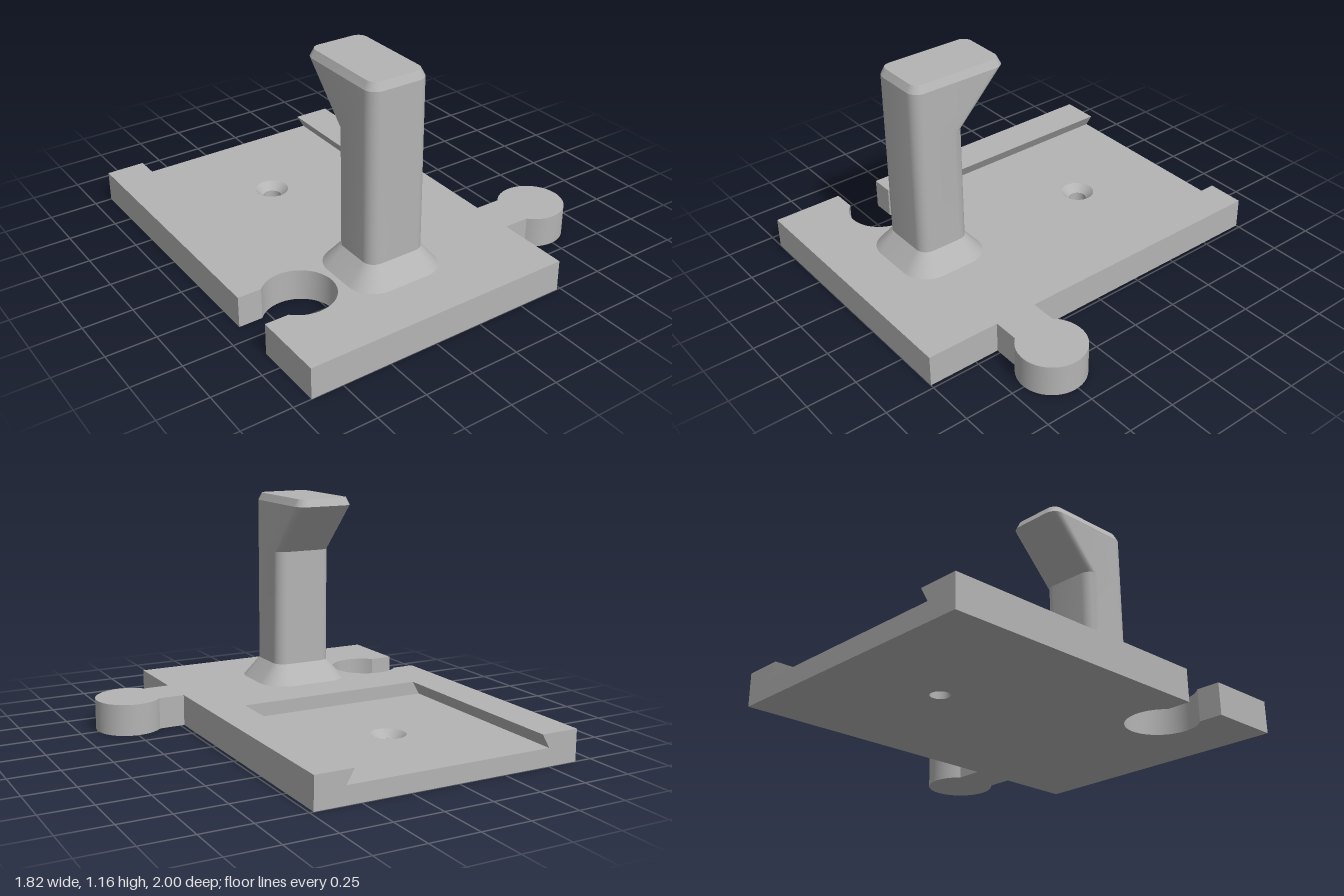
import * as THREE from 'three';
import { mergeGeometries, toCreasedNormals } from 'three/addons/utils/BufferGeometryUtils.js';

const V = (x, z) => new THREE.Vector2(x, z);

// Points on an arc in plan (x, z), from angle a to angle b
function arc(cx, cz, r, a, b, n) {
  return Array.from({ length: n + 1 }, (_, i) => {
    const t = a + ((b - a) * i) / n;
    return V(cx + r * Math.cos(t), cz + r * Math.sin(t));
  });
}

// Rounded rectangle in plan
function roundRect(x0, x1, z0, z1, r) {
  const q = Math.PI / 2;
  const corners = [[x1 - r, z1 - r], [x0 + r, z1 - r], [x0 + r, z0 + r], [x1 - r, z0 + r]];
  return corners.flatMap(([x, z], i) => arc(x, z, r, i * q, (i + 1) * q, 8));
}

// Walls between stacked plan outlines: levels = [[y, points], ...]
function loft(levels, closed = true) {
  const pos = [];
  for (let k = 0; k < levels.length - 1; k++) {
    const [y0, lo] = levels[k], [y1, hi] = levels[k + 1];
    const n = lo.length;
    for (let i = 0; i < (closed ? n : n - 1); i++) {
      const j = (i + 1) % n;
      const a = [lo[i].x, y0, lo[i].y], b = [lo[j].x, y0, lo[j].y];
      const c = [hi[j].x, y1, hi[j].y], d = [hi[i].x, y1, hi[i].y];
      pos.push(...a, ...d, ...b, ...b, ...d, ...c);
    }
  }
  const g = new THREE.BufferGeometry();
  g.setAttribute('position', new THREE.Float32BufferAttribute(pos, 3));
  return g;
}

// Flat face from an outline, optionally holed and turned over
function face(points, hole, flip) {
  const shape = new THREE.Shape(points);
  if (hole) shape.holes.push(new THREE.Path(hole));
  const g = new THREE.ShapeGeometry(shape);
  if (flip) {
    const ix = g.index.array;
    for (let i = 0; i < ix.length; i += 3) [ix[i], ix[i + 1]] = [ix[i + 1], ix[i]];
  }
  const out = g.toNonIndexed();
  out.deleteAttribute('uv');
  out.deleteAttribute('normal');
  return out;
}

// Horizontal face at height y
const cap = (points, y, up, hole) => face(points, hole, up).rotateX(Math.PI / 2).translate(0, y, 0);

export function createModel() {
  const group = new THREE.Group();
  const grey = new THREE.MeshStandardMaterial({ color: 0xb4b4b4 });
  grey.name = 'grey';
  const add = (name, parts) => {
    const mesh = new THREE.Mesh(toCreasedNormals(mergeGeometries(parts), 0.35), grey);
    mesh.name = name;
    group.add(mesh);
  };

  const L = -0.91, R = 0.48, H = 0.16, floorY = 0.09, slotEnd = 0.08;
  const tabA = Math.PI - 0.714, socketA = Math.PI - 0.74;

  // Base plate outline with interlocking tab and socket
  const outline = [
    V(R, -1), V(R, 0.405),
    ...arc(0.74, 0.515, 0.168, -tabA, tabA, 48),
    V(R, 0.625), V(R, 1), V(L, 1), V(L, 0.633),
    ...arc(-0.66, 0.515, 0.175, socketA, -socketA, 48),
    V(L, 0.397), V(L, -1),
  ];
  // Dovetail slot, wider at its floor
  const slot = (w) => [V(-0.71 - w, -1), V(-0.71 - w, slotEnd), V(0.285 + w, slotEnd), V(0.285 + w, -1)];
  const mouth = slot(0), bed = slot(0.04);
  // Countersunk screw hole
  const ring = (r) => arc(-0.215, -0.465, r, 2 * Math.PI, 0, 40).slice(0, -1);
  const backFace = face([
    V(L, 0), V(R, 0), V(R, H), V(mouth[3].x, H), V(bed[3].x, floorY),
    V(bed[0].x, floorY), V(mouth[0].x, H), V(L, H),
  ], null, true).translate(0, 0, -1);

  add('basePlate', [
    cap(outline, 0, false, ring(0.047)),
    cap([...outline, ...mouth], H, true),
    loft([[0, outline], [H, outline]], false),
    backFace,
  ]);
  add('dovetailSlot', [
    cap(bed, floorY, true, ring(0.087)),
    loft([[floorY, bed], [H, mouth]], false),
  ]);
  add('screwHole', [loft([[0, ring(0.047)], [0.05, ring(0.047)], [floorY, ring(0.087)]])]);

  // Flared foot of the post
  const section = roundRect(-0.37, -0.055, 0.385, 0.66, 0.06);
  add('postFoot', [loft([[H, roundRect(-0.455, 0.028, 0.3, 0.742, 0.135)], [0.26, section]])]);

  // Upright post with a hook leaning backwards and a chamfered top
  const top = roundRect(-0.352, -0.073, 0.158, 0.642, 0.045);
  add('hookPost', [
    loft([
      [0.26, section], [0.865, section],
      [1.122, roundRect(-0.37, -0.055, 0.14, 0.66, 0.06)], [1.16, top],
    ]),
    cap(top, 1.16, true),
  ]);

  return group;
}
